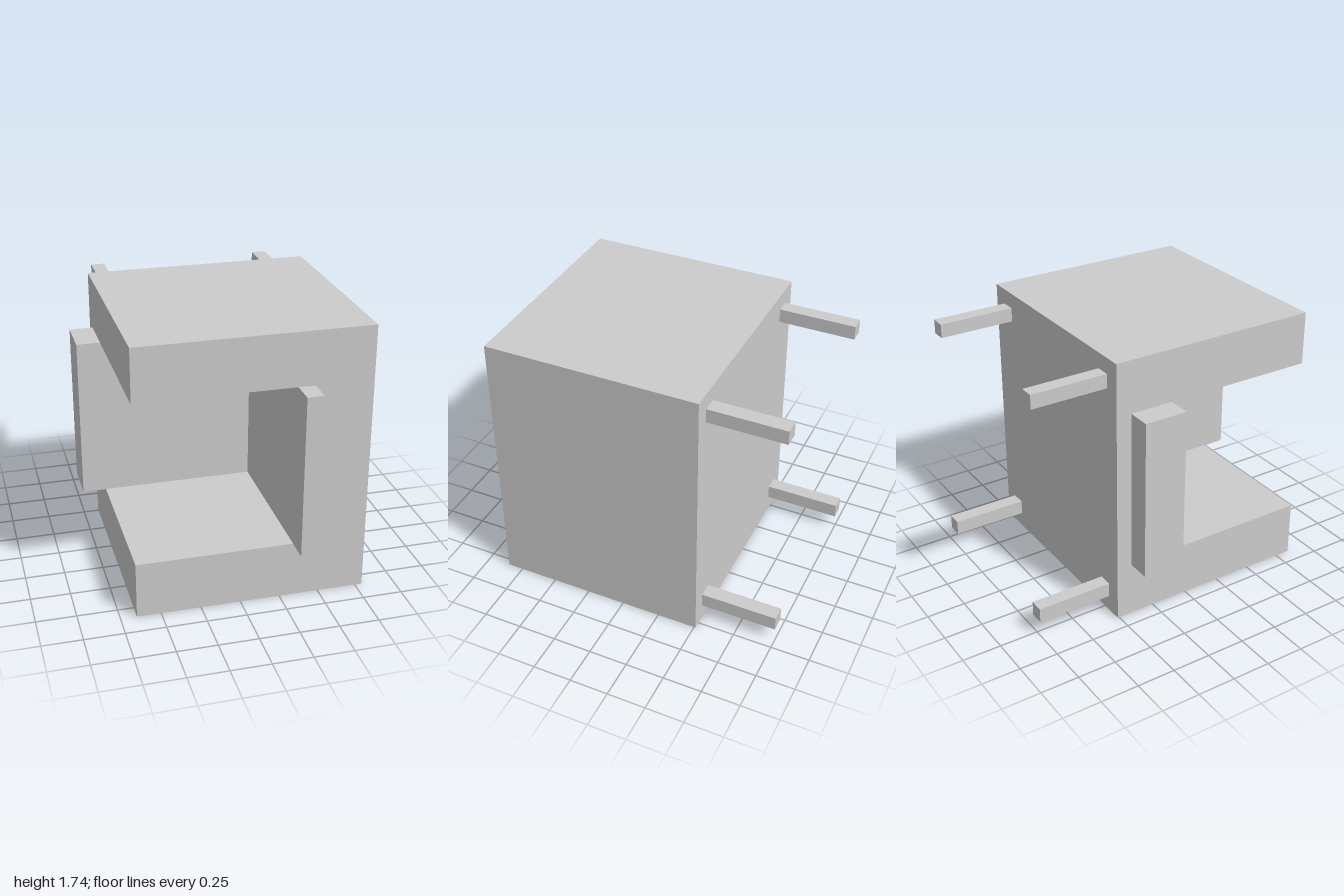
import * as THREE from 'three';

export function createModel() {
  const model = new THREE.Group();
  const material = new THREE.MeshStandardMaterial({ color: 0xcccccc, flatShading: true });

  // Box given by its extents along each axis
  function box(name, [x0, x1], [y0, y1], [z0, z1]) {
    const mesh = new THREE.Mesh(new THREE.BoxGeometry(x1 - x0, y1 - y0, z1 - z0), material);
    mesh.position.set((x0 + x1) / 2, (y0 + y1) / 2, (z0 + z1) / 2);
    mesh.name = name;
    model.add(mesh);
  }

  const bodyX = [-0.65, 0.795];
  const bodyZ = [-0.51, 0.85];
  const openY = [0.363, 1.402];

  // Housing: two slabs joined by an L-shaped core, leaving an open corner
  box('bottomSlab', bodyX, [0, openY[0]], bodyZ);
  box('topSlab', bodyX, [openY[1], 1.74], bodyZ);

  const plan = new THREE.Shape([
    [-0.65, 0.51], [0.795, 0.51], [0.795, -0.85],
    [0.39, -0.85], [0.39, 0.27], [-0.65, 0.27],
  ].map(([x, y]) => new THREE.Vector2(x, y)));
  const coreGeometry = new THREE.ExtrudeGeometry(plan, { depth: openY[1] - openY[0], bevelEnabled: false });
  coreGeometry.rotateX(-Math.PI / 2);
  const core = new THREE.Mesh(coreGeometry, material);
  core.position.y = openY[0];
  core.name = 'cornerWalls';
  model.add(core);

  // Panels lining the opening and projecting beyond the housing
  box('backPanel', [-0.8, 0.42], [0.362, 1.403], [-0.41, -0.13]);
  box('sidePanel', [0.33, 0.433], [0.36, 1.4], [-0.2, 1]);

  // Four rear rods
  for (const x of [[-0.55, -0.46], [0.6, 0.695]])
    for (const y of [[0.105, 0.2], [1.55, 1.64]])
      box('rearRod', x, y, [-1, -0.5]);

  return model;
}
